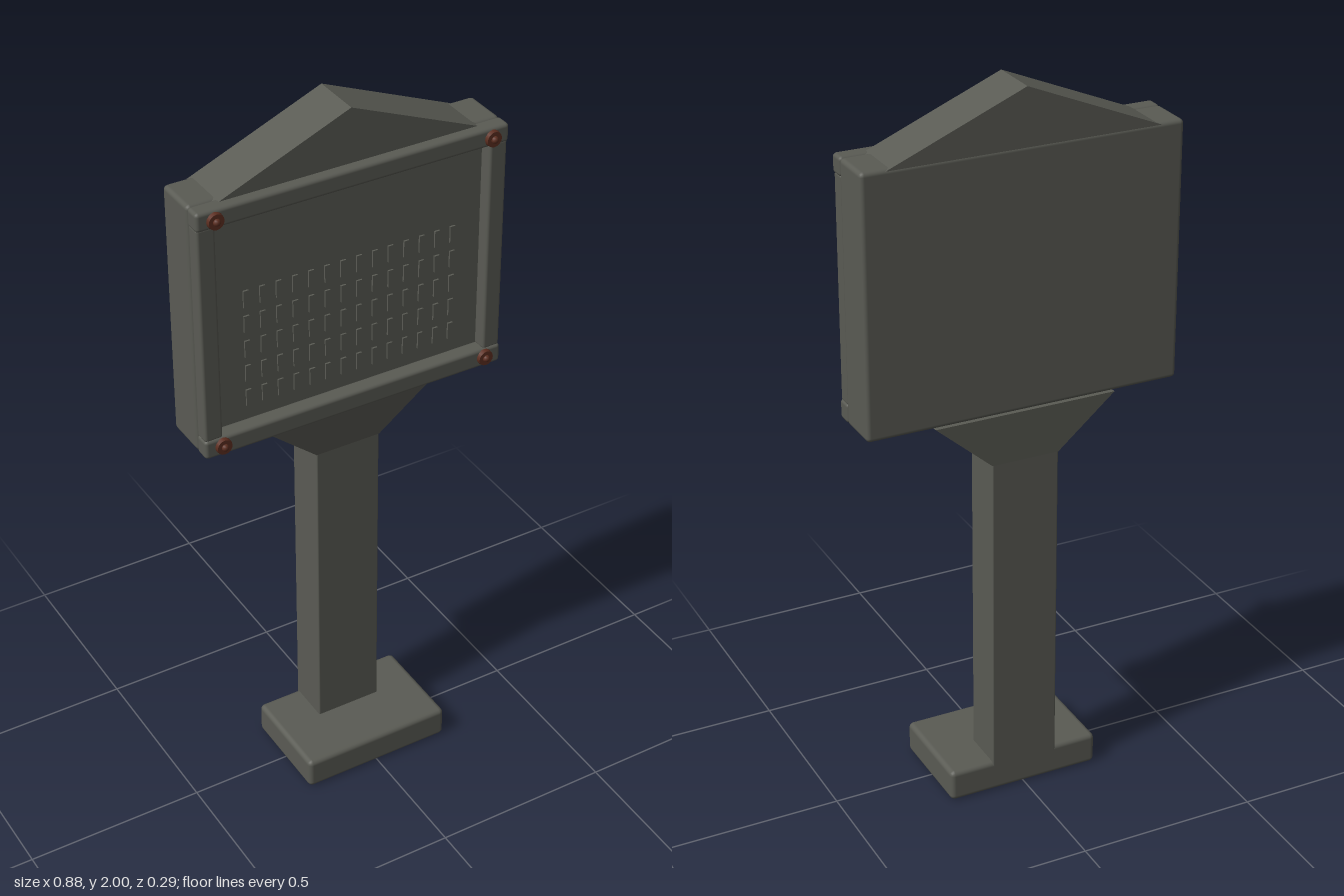
import * as THREE from 'three';
import { RoundedBoxGeometry } from 'three/addons/geometries/RoundedBoxGeometry.js';

const stone = new THREE.MeshStandardMaterial({ color: 0x5a5b54 });
stone.name = 'dark grey';
const rust = new THREE.MeshStandardMaterial({ color: 0x5c2e20 });
rust.name = 'rusty brown';

export function createModel() {
  const model = new THREE.Group();
  model.name = 'signpost';

  const add = (name, geometry, material = stone, parent = model) => {
    const mesh = new THREE.Mesh(geometry, material);
    mesh.name = name;
    parent.add(mesh);
    return mesh;
  };

  // Rounded block given by its extents on each axis
  const block = (name, [x0, x1], [y0, y1], [z0, z1], radius) => {
    const geometry = new RoundedBoxGeometry(x1 - x0, y1 - y0, z1 - z0, 2, radius);
    geometry.translate((x0 + x1) / 2, (y0 + y1) / 2, (z0 + z1) / 2);
    return add(name, geometry);
  };

  // Outline in the front plane, extruded from z0 to z1
  const slab = (points, z0, z1) => {
    const shape = new THREE.Shape(points.map(([x, y]) => new THREE.Vector2(x, y)));
    const geometry = new THREE.ExtrudeGeometry(shape, { depth: z1 - z0, bevelEnabled: false });
    return geometry.translate(0, 0, z0);
  };

  // Foot and post
  block('base', [-0.22, 0.22], [0, 0.09], [-0.142, 0.145], 0.014);
  block('post', [-0.095, 0.095], [0.06, 1.02], [-0.142, -0.017], 0.004);

  // Flared bracket, its front face leaning outwards towards the top
  const bracket = slab([[-0.095, 1], [0.095, 1], [0.255, 1.14], [-0.255, 1.14]], -0.146, 0);
  const p = bracket.attributes.position;
  for (let i = 0; i < p.count; i++) {
    if (p.getY(i) < 1.07) p.setZ(i, p.getZ(i) > -0.07 ? -0.017 : -0.142);
  }
  bracket.computeVertexNormals();
  add('bracket', bracket);

  // Board and gabled top
  block('board', [-0.44, 0.44], [1.14, 1.85], [-0.142, -0.015], 0.012);
  add('gable', slab([[-0.375, 1.845], [0.375, 1.845], [0, 2]], -0.142, 0));

  // Raised frame around the board
  for (const [name, y0, y1] of [['topRail', 1.798, 1.85], ['bottomRail', 1.14, 1.195]]) {
    block(name, [-0.44, 0.44], [y0, y1], [-0.018, 0.029], 0.01);
  }
  for (const [name, x0, x1] of [['leftRail', 0.387, 0.438], ['rightRail', -0.438, -0.387]]) {
    block(name, [x0, x1], [1.19, 1.805], [-0.018, 0.025], 0.008);
  }

  // Corner bolts: washer, collar and rounded tip
  for (const x of [-0.39, 0.39]) {
    for (const y of [1.17, 1.822]) {
      const bolt = new THREE.Group();
      bolt.name = 'bolt';
      bolt.position.set(x, y, 0.027);
      model.add(bolt);
      add('washer', new THREE.CylinderGeometry(0.021, 0.023, 0.012, 16).rotateX(Math.PI / 2), rust, bolt).position.z = 0.006;
      add('boltTip', new THREE.SphereGeometry(0.01, 12, 8), rust, bolt).position.z = 0.012;
    }
  }

  // Rows of plain raised ticks on the board
  const ticks = new THREE.Group();
  ticks.name = 'reliefTicks';
  model.add(ticks);
  const tickShape = new THREE.BoxGeometry(0.015, 0.048, 0.006);
  for (let row = 0; row < 5; row++) {
    for (let col = 0; col < 14; col++) {
      add('tick', tickShape, stone, ticks).position.set(-0.292 + col * 0.046, 1.55 - row * 0.073, -0.013);
    }
  }

  return model;
}
